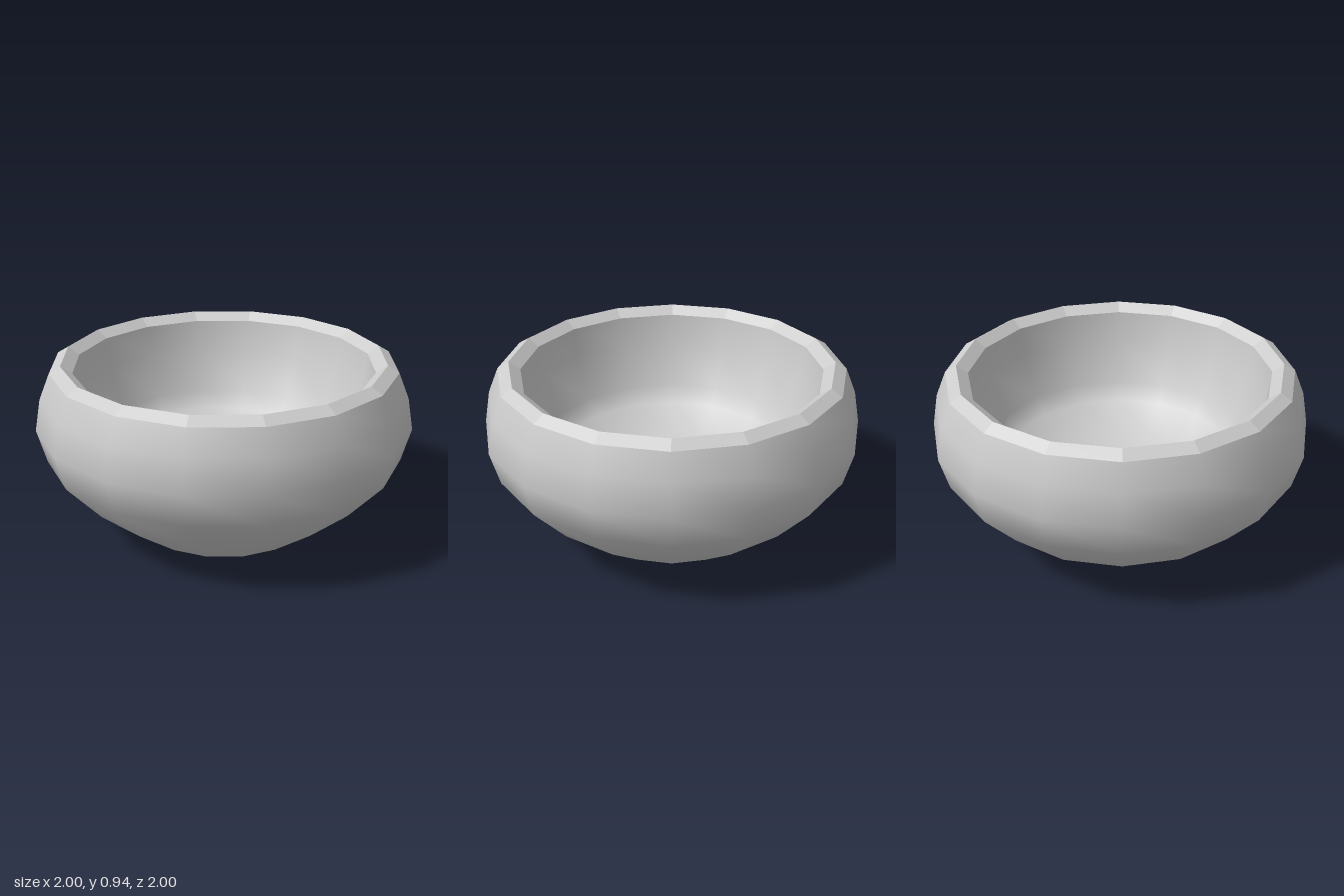
import * as THREE from 'three';

const SIDES = 16;

// Revolves one stretch of the bowl's profile; each stretch is creased from the next
function band(name, profile, flatShading = false) {
  const points = profile.map(([r, y]) => new THREE.Vector2(r, y));
  const geometry = new THREE.LatheGeometry(points, SIDES);
  geometry.normalizeNormals();
  const mesh = new THREE.Mesh(geometry, new THREE.MeshStandardMaterial({ color: 0xcccccc, flatShading }));
  mesh.name = name;
  return mesh;
}

export function createModel() {
  const bowl = new THREE.Group();
  bowl.name = 'bowl';

  bowl.add(
    // flat underside
    band('base', [[0, 0], [0.475, 0]], true),
    // smooth, swelling outside
    band('outerWall', [[0.475, 0], [0.76, 0.21], [0.95, 0.42], [1, 0.6], [0.97, 0.77], [0.915, 0.905]]),
    // faceted rim: a ridge with a bevel on each side
    band('rim', [[0.915, 0.905], [0.855, 0.942], [0.795, 0.9]], true),
    // steep, smooth hollow running into a shallow floor
    band('innerWall', [[0.795, 0.9], [0.77, 0.74], [0.69, 0.5], [0.62, 0.41], [0.42, 0.3], [0.2, 0.24], [0, 0.23]])
  );
  return bowl;
}
